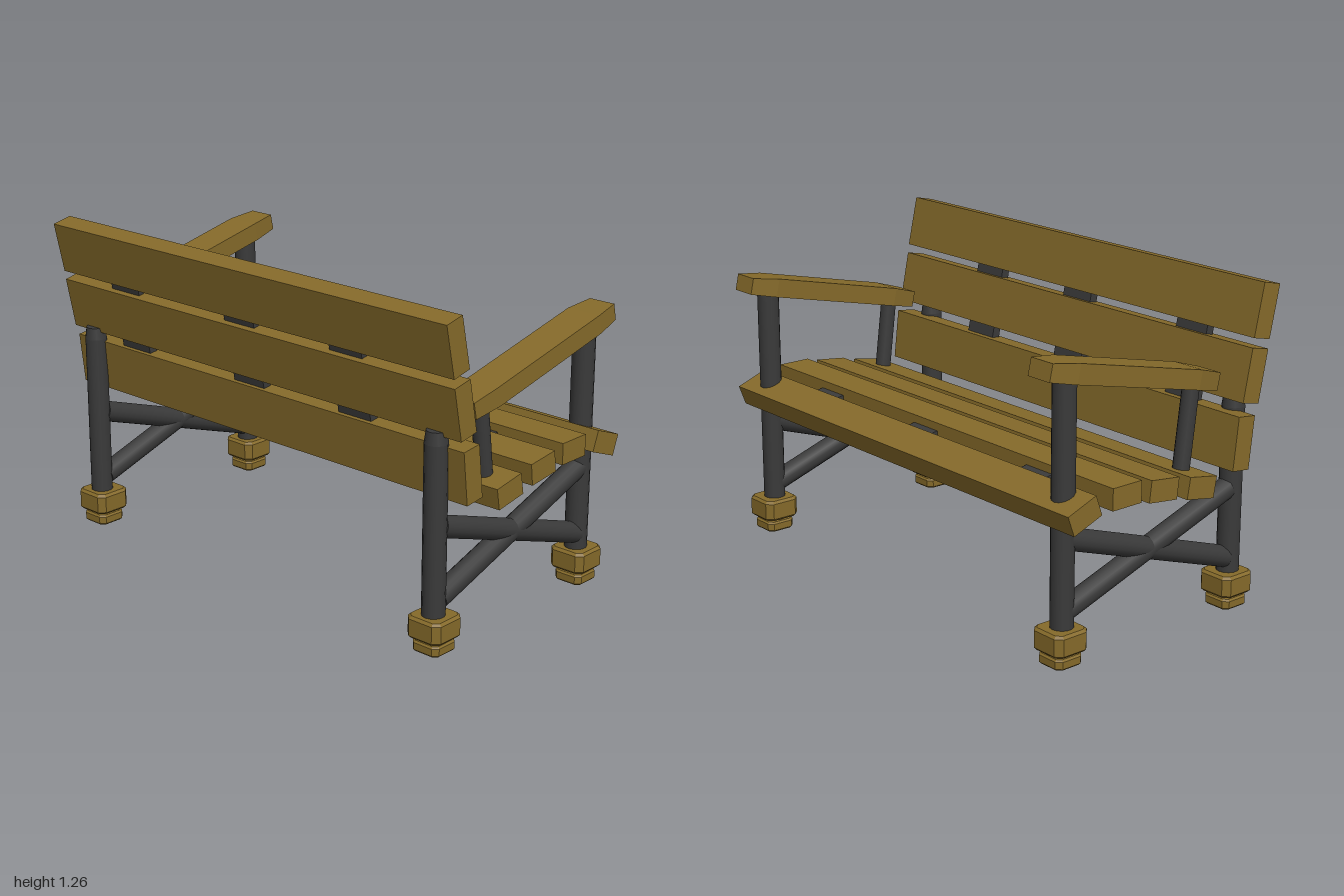
import * as THREE from 'three';

const wood = new THREE.MeshStandardMaterial({ color: 0x856a2a, flatShading: true });
const metal = new THREE.MeshStandardMaterial({ color: 0x3a3a3a });

export function createModel() {
  const bench = new THREE.Group();
  bench.name = 'bench';

  const add = (name, geometry, material, x = 0, y = 0, z = 0, tilt = 0) => {
    const mesh = new THREE.Mesh(geometry, material);
    mesh.name = name;
    mesh.position.set(x, y, z);
    mesh.rotation.x = tilt;
    bench.add(mesh);
    return mesh;
  };

  // Round bar between two points
  const bar = (name, a, b, radius) => {
    const from = new THREE.Vector3(...a), to = new THREE.Vector3(...b);
    const dir = to.clone().sub(from);
    const mesh = add(name, new THREE.CylinderGeometry(radius, radius, dir.length(), 14), metal);
    mesh.position.copy(from).add(to).multiplyScalar(0.5);
    mesh.quaternion.setFromUnitVectors(new THREE.Vector3(0, 1, 0), dir.normalize());
  };

  // Square block with all edges chamfered, standing on y = 0
  const chamferBlock = (width, height, corner, bevel) => {
    const h = width / 2 - bevel, c = h - corner;
    const outline = [[h, -c], [h, c], [c, h], [-c, h], [-h, c], [-h, -c], [-c, -h], [c, -h]];
    const shape = new THREE.Shape(outline.map(([x, y]) => new THREE.Vector2(x, y)));
    const geometry = new THREE.ExtrudeGeometry(shape, {
      depth: height - 2 * bevel, bevelSize: bevel, bevelThickness: bevel, bevelSegments: 1,
    });
    return geometry.rotateX(-Math.PI / 2).translate(0, bevel, 0);
  };

  // Slats as [y, z, tilt]
  const backSlats = [[0.673, 0.37, 0.115], [0.918, 0.418, 0.2], [1.152, 0.465, 0.217]];
  const seatSlats = [[0.552, 0.16, 0.175], [0.587, -0.03, 0.12], [0.608, -0.21, 0], [0.58, -0.407, -0.36]];
  for (const [y, z, tilt] of backSlats) add('backSlat', new THREE.BoxGeometry(2, 0.203, 0.083), wood, 0, y, z, tilt);
  for (const [y, z, tilt] of seatSlats) add('seatSlat', new THREE.BoxGeometry(2, 0.083, 0.137), wood, 0, y, z, tilt);

  // Flat metal straps joining each slat to the next
  const straps = (name, slats, xs, width, thickness) => {
    for (let i = 0; i < slats.length - 1; i++) {
      const [y0, z0] = slats[i], [y1, z1] = slats[i + 1];
      const dy = y1 - y0, dz = z1 - z0;
      for (const x of xs) {
        add(name, new THREE.BoxGeometry(width, thickness, Math.hypot(dy, dz)), metal,
          x, (y0 + y1) / 2, (z0 + z1) / 2, Math.atan2(dy, -dz));
      }
    }
  };
  straps('backStrap', backSlats, [-0.67, -0.045, 0.485], 0.155, 0.035);
  straps('seatStrap', seatSlats, [-0.62, 0.03, 0.63], 0.14, 0.04);

  // Armrest board, narrowed and thinned toward both ends
  const armGeometry = () => {
    const geometry = new THREE.BoxGeometry(0.142, 0.074, 0.827, 1, 1, 3);
    const p = geometry.attributes.position;
    for (let i = 0; i < p.count; i++) {
      if (Math.abs(p.getZ(i)) < 0.3) {
        p.setZ(i, Math.sign(p.getZ(i)) * 0.3);
      } else {
        p.setX(i, p.getX(i) * 0.77);
        if (p.getY(i) > 0) p.setY(i, 0.028);
      }
    }
    geometry.computeVertexNormals();
    return geometry;
  };

  // Side frames; the right armrest sits slightly higher
  for (const side of [-1, 1]) {
    const x = side * 0.885;
    const lift = side < 0 ? 0.04 : 0;
    const rear = 0.432, front = -0.405;

    add('armrest', armGeometry(), wood, x, 0.964 + lift, -0.11, 0.222);
    bar('armPost', [x, 0.57, 0.164], [x, 0.87 + lift, 0.202 + lift * 0.13], 0.032);

    bar('rearLeg', [x, 0.1, rear], [x, 0.78, rear], 0.0435);
    add('rearLegTop', new THREE.CylinderGeometry(0.037, 0.0435, 0.047, 14), metal, x, 0.8035, rear);
    bar('frontLeg', [x, 0.1, front], [x, 1.0 + lift, front], 0.0435);

    // Crossed braces between the legs
    bar('brace', [x, 0.465, 0.41], [x, 0.193, -0.4], 0.042);
    bar('brace', [x, 0.193, 0.41], [x, 0.465, -0.4], 0.042);

    // Stepped feet
    for (const z of [0.427, -0.41]) {
      add('footPad', chamferBlock(0.122, 0.041, 0.015, 0.007), wood, x, 0, z);
      add('footNeck', new THREE.CylinderGeometry(0.045, 0.045, 0.03, 14), wood, x, 0.046, z);
      add('footBlock', chamferBlock(0.153, 0.085, 0.018, 0.01), wood, x, 0.052, z);
    }
  }
  return bench;
}
